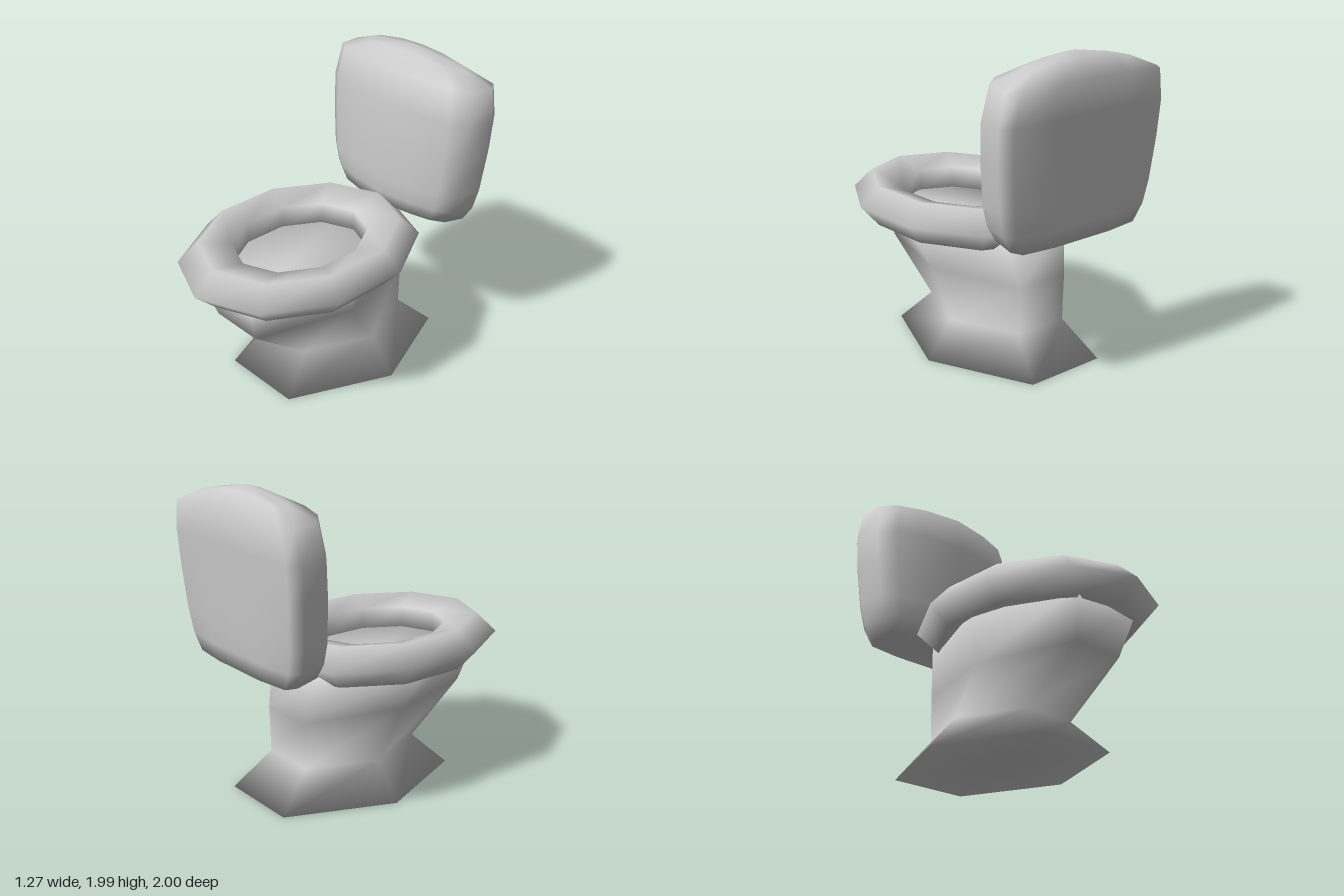
import * as THREE from 'three';

const material = new THREE.MeshStandardMaterial({ color: 0xcccccc });

function addMesh(group, name, geometry) {
  const mesh = new THREE.Mesh(geometry, material);
  mesh.name = name;
  group.add(mesh);
}

// Skin a stack of closed loops (bottom to top, counter-clockwise from above),
// closing both ends with a fan around the given centre points.
function loft(loops, bottomCentre, topCentre) {
  const n = loops[0].length;
  const points = [...loops.flat(), bottomCentre, topCentre];
  const index = [];
  const last = (loops.length - 1) * n;
  for (let i = 0; i < n; i++) {
    const j = (i + 1) % n;
    for (let r = 0; r < last; r += n) {
      index.push(r + i, r + j, r + n + j, r + i, r + n + j, r + n + i);
    }
    index.push(points.length - 2, j, i);
    index.push(points.length - 1, last + i, last + j);
  }
  const geometry = new THREE.BufferGeometry();
  geometry.setAttribute('position', new THREE.Float32BufferAttribute(points.flat(), 3));
  geometry.setIndex(index);
  geometry.computeVertexNormals();
  return geometry;
}

// Six-sided pedestal: each level is [y, half width, back z, front z]
function pedestal() {
  const levels = [
    [0, 0.55, -0.81, 0.51],
    [0.22, 0.365, -0.58, 0.29],
    [0.52, 0.365, -0.59, 0.69],
    [0.82, 0.50, -0.51, 0.79],
  ];
  const loops = levels.map(([y, w, back, front]) => {
    const mid = (back + front) / 2;
    return [
      [-w / 2, y, front], [w / 2, y, front], [w, y, mid],
      [w / 2, y, back], [-w / 2, y, back], [-w, y, mid],
    ];
  });
  return loft(loops, [0, 0, -0.15], [0, 0.82, 0.14]);
}

// Ten-sided oval ring with a five-sided section
function seat() {
  const geometry = new THREE.TorusGeometry(1, 0.324, 5, 10);
  geometry.rotateZ(Math.PI / 2);
  geometry.rotateX(-Math.PI / 2);
  geometry.scale(0.498, 0.42, 0.634);
  geometry.translate(0.01, 0.88, 0.16);
  return geometry;
}

// Bulging tank with a crowned top.
function tank() {
  // Half outline: fraction of half width, fraction of depth from back to front
  const half = [
    [0, 1], [0.45, 0.92], [0.78, 0.8], [0.95, 0.63],
    [1, 0.22], [0.92, 0.06], [0.45, 0], [0, 0],
  ];
  const mirrored = half.slice(1, -1).reverse().map(([u, v]) => [-u, v]);
  const outline = [...half, ...mirrored];

  // y, half width, back z, front z, crown drop at the sides, front-to-back rise
  const levels = [
    [0.89, 0.49, -0.92, -0.55, 0, 0.05],
    [1.0, 0.555, -0.94, -0.53, 0, 0.03],
    [1.15, 0.59, -0.955, -0.52, 0, 0],
    [1.42, 0.62, -0.975, -0.53, 0, 0],
    [1.66, 0.63, -0.99, -0.545, 0.02, 0],
    [1.86, 0.59, -1.0, -0.58, 0.03, 0.03],
    [1.96, 0.40, -0.9, -0.73, 0.045, 0],
  ];
  const loops = levels.map(([y, w, back, front, crown, rise]) =>
    outline.map(([u, v]) => [
      u * w,
      y - crown * u * u + rise * v,
      back + (front - back) * v,
    ]));
  return loft(loops, [0, 0.915, -0.735], [0, 1.985, -0.81]);
}

export function createModel() {
  const group = new THREE.Group();
  group.name = 'toilet';
  addMesh(group, 'pedestal', pedestal());
  addMesh(group, 'seat', seat());
  addMesh(group, 'tank', tank());
  return group;
}
